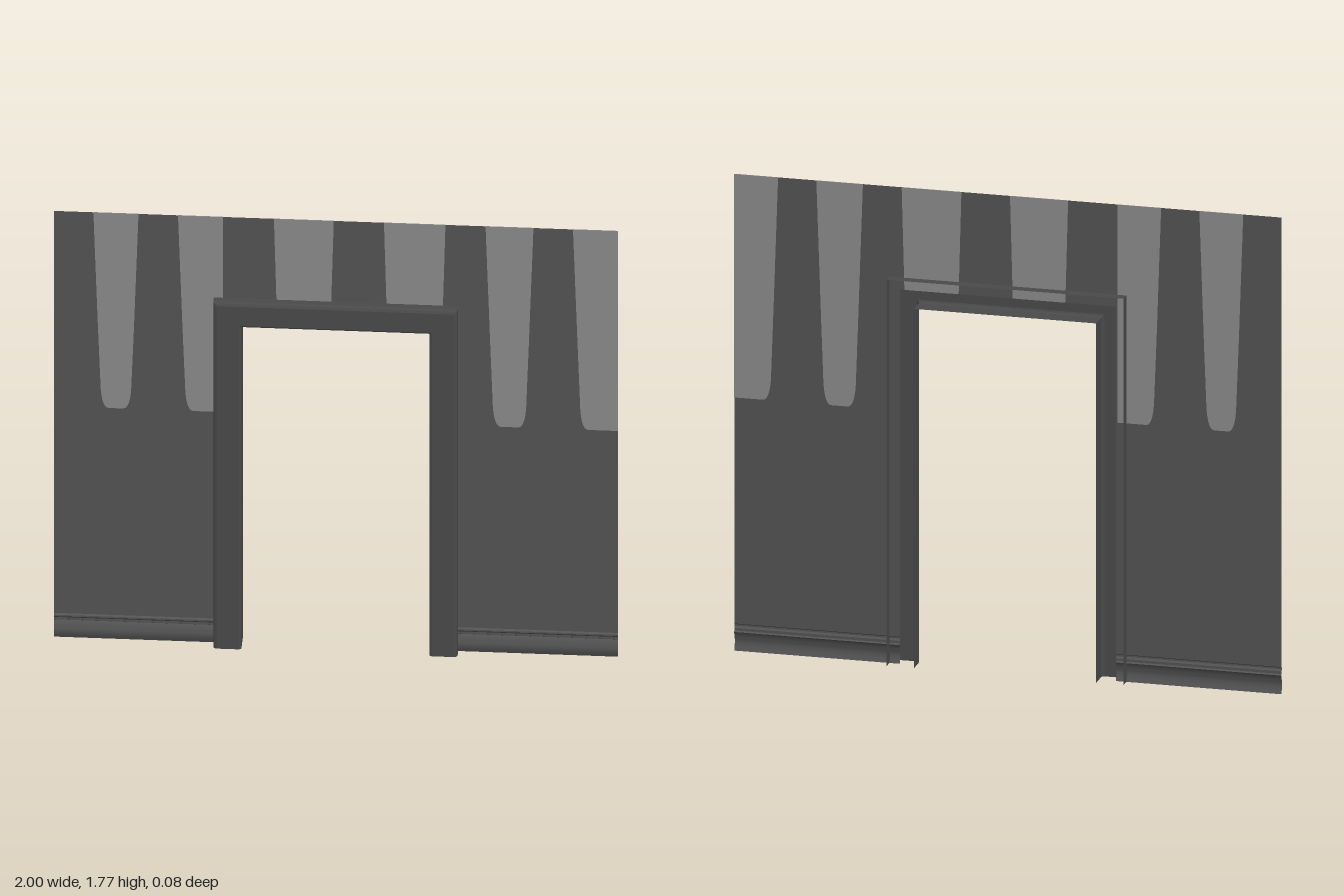
import * as THREE from 'three';
import { toCreasedNormals } from 'three/addons/utils/BufferGeometryUtils.js';

const TOP = 1.77;          // wall height
const GAP = 0.395;         // half width of the hole in the wall
const GAP_TOP = 1.39;      // top of the hole in the wall
const SKIRT = 0.1;         // skirting height
const INNER = 0.333;       // half width of the doorway
const INNER_TOP = 1.335;   // height of the doorway

const mat = (name, color) => {
  const m = new THREE.MeshStandardMaterial({ color, side: THREE.DoubleSide });
  m.name = name;
  return m;
};

// Joins a list of cross-sections (equal numbers of points) into an open sheet
function loft(sections, crease) {
  const n = sections[0].length;
  const index = [];
  for (let i = 0; i < sections.length - 1; i++) {
    for (let j = 0; j < n - 1; j++) {
      const a = i * n + j, b = a + n;
      index.push(a, b, a + 1, b, b + 1, a + 1);
    }
  }
  const geo = new THREE.BufferGeometry();
  geo.setAttribute('position', new THREE.Float32BufferAttribute(sections.flat(2), 3));
  geo.setIndex(index);
  return toCreasedNormals(geo, crease);
}

export function createModel() {
  const group = new THREE.Group();
  const wallMat = mat('dark grey wall', 0x535353);
  const paleMat = mat('pale grey stripe', 0x8a8a8a);
  const frameMat = mat('charcoal frame', 0x4a4a4a);

  const add = (name, geo, material) => {
    const mesh = new THREE.Mesh(geo, material);
    mesh.name = name;
    group.add(mesh);
    return mesh;
  };
  const polygon = pts => new THREE.Shape(pts.map(([x, y]) => new THREE.Vector2(x, y)));

  // Wall sheet around the doorway
  add('wall', new THREE.ShapeGeometry(polygon([
    [-1, SKIRT], [-GAP, SKIRT], [-GAP, GAP_TOP], [GAP, GAP_TOP],
    [GAP, SKIRT], [1, SKIRT], [1, TOP], [-1, TOP],
  ])), wallMat);

  // Hanging stripes with rounded lower ends
  const drip = (x0, x1, bottom, cutLeft, cutRight) => {
    const s = new THREE.Shape();
    s.moveTo(x0, TOP);
    if (cutLeft) s.lineTo(x0, bottom);
    else {
      s.lineTo(x0 + 0.016, 1.3);
      s.lineTo(x0 + 0.026, bottom + 0.08);
      s.quadraticCurveTo(x0 + 0.031, bottom, x0 + 0.055, bottom);
    }
    if (cutRight) s.lineTo(x1, bottom);
    else {
      s.lineTo(x1 - 0.055, bottom);
      s.quadraticCurveTo(x1 - 0.031, bottom, x1 - 0.026, bottom + 0.08);
      s.lineTo(x1 - 0.016, 1.3);
    }
    s.lineTo(x1, TOP);
    return s;
  };
  const stripes = [
    drip(-0.86, -0.7, 0.96),
    drip(-0.56, -0.4, 0.96, false, true),
    polygon([[-0.22, TOP], [-0.21, GAP_TOP], [-0.018, GAP_TOP], [-0.008, TOP]]),
    polygon([[0.17, TOP], [0.18, GAP_TOP], [0.378, GAP_TOP], [0.388, TOP]]),
    drip(0.53, 0.7, 0.94),
    drip(0.84, 1, 0.94, false, true),
  ];
  stripes.forEach((shape, i) => {
    const geo = new THREE.ExtrudeGeometry(shape, { depth: 0.003, bevelEnabled: false, curveSegments: 6 });
    add('stripe' + (i + 1), geo.translate(0, 0, -0.0015), paleMat);
  });

  // Moulded skirting on both sides: a small lip, a groove and a rounded board
  const skirtProfile = [[SKIRT, 0], [0.096, 0.006], [0.09, 0.006], [0.084, 0.001], [0.074, 0.001], [0.07, -0.005]];
  for (let i = 0; i <= 8; i++) {
    const t = i / 8;
    skirtProfile.push([0.066 * (1 - t), -0.002 + 0.009 * Math.sin(Math.PI * t)]);
  }
  for (const [name, a, b] of [['skirtingRight', -1, -GAP], ['skirtingLeft', GAP, 1]]) {
    add(name, loft([a, b].map(x => skirtProfile.map(([y, z]) => [x, y, z])), 0.6), wallMat);
  }

  // Door frame: a chamfered channel, open at the back, mitred at the top corners
  const frameProfile = [
    [0, -0.04], [0, 0.03], [0.003, 0.037], [0.009, 0.04],
    [0.088, 0.04], [0.097, 0.036], [0.1, 0.026], [0.1, -0.04],
  ];
  const section = (side, top) => frameProfile.map(([o, z]) =>
    [side * (INNER + o), top ? INNER_TOP + o : 0, z]);
  add('doorFrame', loft([section(-1, false), section(-1, true), section(1, true), section(1, false)], 0.2), frameMat);

  return group;
}
